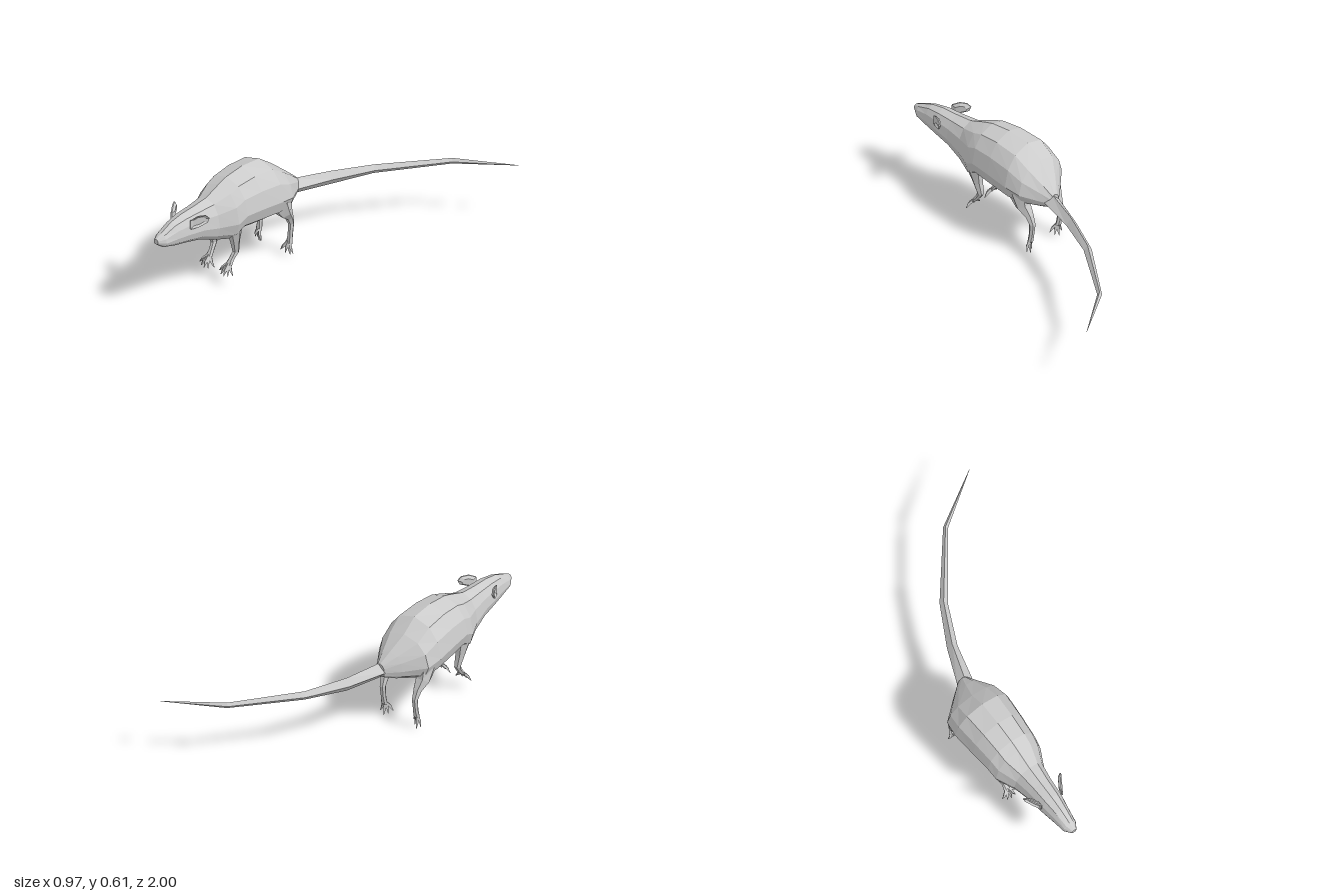
import * as THREE from 'three';

const material = new THREE.MeshStandardMaterial({ color: 0xcccccc, flatShading: true, side: THREE.DoubleSide });

// Skin a list of rings (arrays of Vector3) and close both ends
function skin(name, rings) {
  const n = rings[0].length, pos = [], index = [];
  rings.forEach(r => r.forEach(p => pos.push(p.x, p.y, p.z)));
  for (let i = 0; i < rings.length - 1; i++) {
    for (let j = 0; j < n; j++) {
      const a = i * n + j, b = i * n + (j + 1) % n;
      index.push(a, b, b + n, a, b + n, a + n);
    }
  }
  const last = (rings.length - 1) * n;
  for (let j = 1; j < n - 1; j++) {
    index.push(0, j + 1, j, last, last + j, last + j + 1);
  }
  const geometry = new THREE.BufferGeometry();
  geometry.setAttribute('position', new THREE.Float32BufferAttribute(pos, 3));
  geometry.setIndex(index);
  const flat = geometry.toNonIndexed();
  flat.computeVertexNormals();
  const mesh = new THREE.Mesh(flat, material);
  mesh.name = name;
  return mesh;
}

// Tapered limb through stations [x, y, z, radius across, radius along up]
function limb(name, stations, sides, up) {
  const pts = stations.map(s => new THREE.Vector3(s[0], s[1], s[2]));
  const rings = stations.map((s, i) => {
    const d = pts[Math.min(i + 1, pts.length - 1)].clone().sub(pts[Math.max(i - 1, 0)]).normalize();
    const side = up.clone().cross(d).normalize(), over = d.clone().cross(side);
    return Array.from({ length: sides }, (_, j) => {
      const t = (j / sides) * Math.PI * 2;
      return pts[i].clone().addScaledVector(side, Math.cos(t) * s[3]).addScaledVector(over, Math.sin(t) * s[4]);
    });
  });
  return skin(name, rings);
}

const Y = new THREE.Vector3(0, 1, 0), Z = new THREE.Vector3(0, 0, 1);

// Head and body: [z, top, bottom, half width, sideways shift]
function body() {
  const sections = [
    [-0.06, 0.405, 0.325, 0.03, 0.045],
    [0.0, 0.46, 0.30, 0.085, 0.025],
    [0.09, 0.535, 0.28, 0.165, 0],
    [0.18, 0.60, 0.265, 0.178, 0],
    [0.32, 0.613, 0.275, 0.167, 0],
    [0.44, 0.60, 0.29, 0.155, 0],
    [0.50, 0.58, 0.255, 0.147, 0],
    [0.60, 0.54, 0.285, 0.098, 0],
    [0.70, 0.53, 0.33, 0.08, 0],
    [0.80, 0.525, 0.355, 0.07, 0],
    [0.88, 0.51, 0.37, 0.055, 0],
    [0.96, 0.475, 0.395, 0.042, 0],
    [1.0, 0.455, 0.425, 0.016, 0],
  ];
  const half = [[0.5, -0.88], [0.87, -0.6], [1, -0.18], [0.87, 0.4], [0.56, 0.82]];
  const outline = [[0, -1], ...half, [0, 1], ...half.slice().reverse().map(([x, y]) => [-x, y])];
  return skin('body', sections.map(([z, top, bottom, w, shift]) => outline.map(([u, v]) =>
    new THREE.Vector3(shift + u * w, (top + bottom) / 2 + v * (top - bottom) / 2, z))));
}

// Thin cupped ear, slanting outward and back
function ear(s) {
  const outline = [[0, 0.458], [0.45, 0.465], [0.9, 0.485], [1, 0.51], [0.8, 0.53], [0.4, 0.531], [0, 0.51]];
  const ring = (scale, offset) => outline.map(([t, y]) => new THREE.Vector3(
    s * (0.065 + (0.5 + (t - 0.5) * scale) * 0.055 + offset * 0.8),
    0.497 + (y - 0.497) * scale,
    0.80 - (0.5 + (t - 0.5) * scale) * 0.09 + offset * 0.6));
  const rings = [ring(0.6, -0.012), ring(1, 0), ring(1, 0.007), ring(0.65, -0.003)];
  // Reverse the corner order on one side so the faces stay outward
  if (s < 0) rings.forEach(r => r.reverse());
  rings.forEach(r => r.reverse());
  return skin('ear', rings);
}

// Leg with a palm and spread toes
function leg(name, s, stations, palm, tips) {
  const group = new THREE.Group();
  group.name = name;
  group.add(limb('limb', stations.map(([x, ...rest]) => [s * x, ...rest]), 6, Z));
  tips.forEach(([x, y, z]) => {
    const base = [palm[0] + (x - palm[0]) * 0.15, palm[1], palm[2]];
    const mid = base.map((v, k) => v + ([x, y, z][k] - v) * 0.55);
    group.add(limb('toe', [
      [s * base[0], base[1], base[2], 0.01, 0.009],
      [s * mid[0], mid[1], mid[2] + 0.006, 0.009, 0.009],
      [s * x, y, z, 0.002, 0.002],
    ], 4, Z));
  });
  return group;
}

export function createModel() {
  const model = new THREE.Group();
  model.name = 'rodent';
  const animal = new THREE.Group();
  animal.name = 'animal';
  animal.position.x = -0.31;
  model.add(animal);
  animal.add(body());

  for (const s of [-1, 1]) {
    animal.add(ear(s));

    // Front leg: shoulder, elbow, wrist, palm
    animal.add(leg('frontLeg', s, [
      [0.09, 0.44, 0.49, 0.04, 0.055],
      [0.095, 0.34, 0.48, 0.04, 0.05],
      [0.085, 0.25, 0.465, 0.028, 0.027],
      [0.078, 0.18, 0.452, 0.019, 0.019],
      [0.072, 0.145, 0.475, 0.016, 0.014],
      [0.07, 0.11, 0.502, 0.022, 0.011],
    ], [0.07, 0.118, 0.498],
    [[0.018, 0.068, 0.515], [0.045, 0.062, 0.535], [0.07, 0.06, 0.54], [0.095, 0.063, 0.535], [0.118, 0.072, 0.52]]));

    // Hind leg: haunch, knee, hock, palm
    animal.add(leg('hindLeg', s, [
      [0.12, 0.37, 0.14, 0.045, 0.075],
      [0.115, 0.29, 0.105, 0.042, 0.045],
      [0.11, 0.24, 0.065, 0.026, 0.024],
      [0.108, 0.19, 0.045, 0.018, 0.017],
      [0.108, 0.12, 0.052, 0.016, 0.014],
      [0.108, 0.075, 0.06, 0.022, 0.012],
    ], [0.108, 0.085, 0.06],
    [[0.068, 0.03, 0.085], [0.088, 0.012, 0.068], [0.11, 0.002, 0.055], [0.135, 0.02, 0.06]]));
  }

  // Long curved tail with a diamond section
  model.add(limb('tail', [
    [-0.285, 0.375, 0.06, 0.055, 0.06],
    [-0.262, 0.36, -0.03, 0.045, 0.046],
    [-0.19, 0.345, -0.25, 0.029, 0.04],
    [-0.08, 0.345, -0.475, 0.022, 0.026],
    [0.18, 0.35, -0.81, 0.013, 0.017],
    [0.48, 0.355, -1.0, 0.001, 0.001],
  ], 4, Y));

  return model;
}
